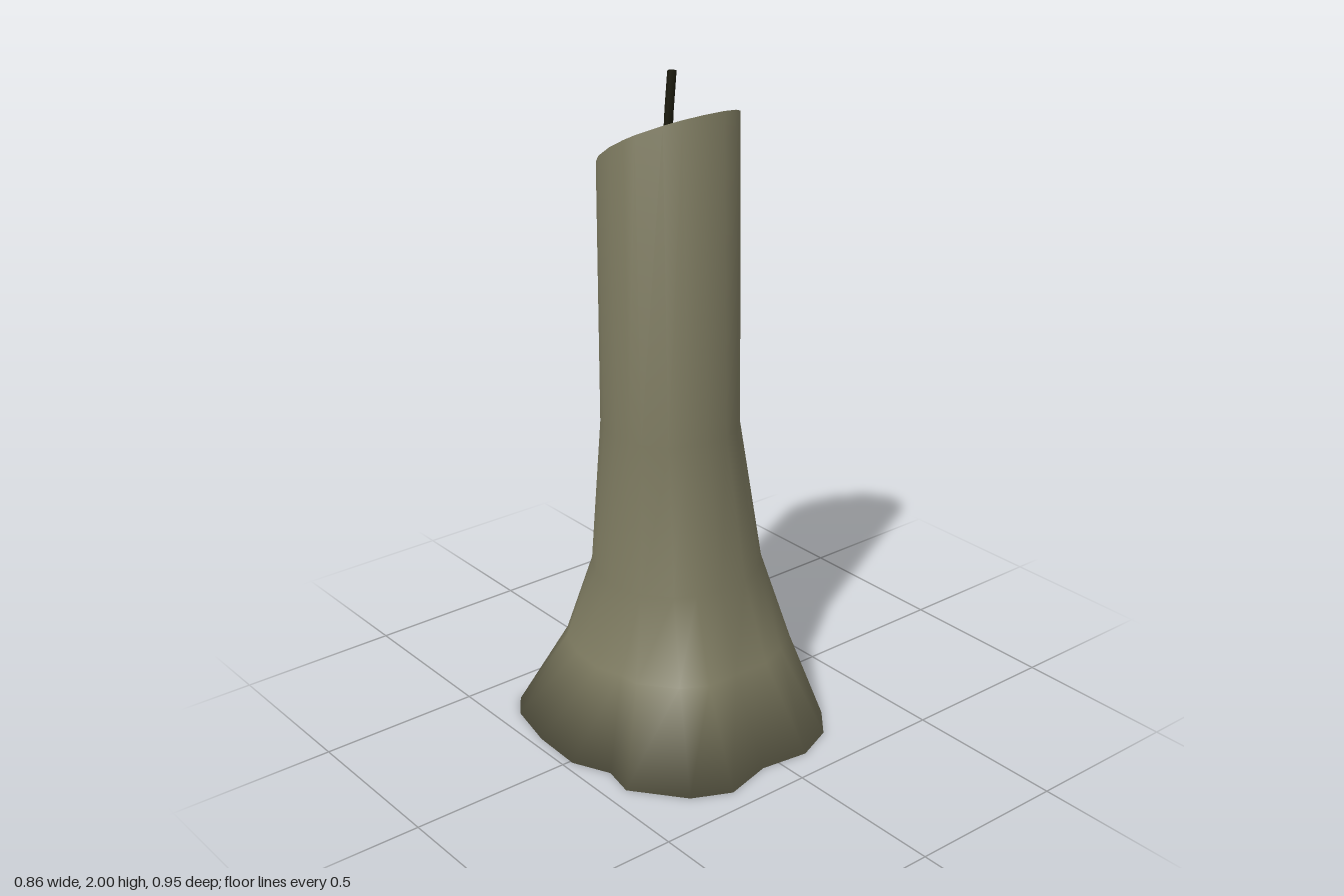
import * as THREE from 'three';

// Closed smooth skin over stacked rings of [x, y, z] points, bottom to top
function loft(rings) {
  const n = rings[0].length;
  const pos = rings.flat(2);
  const idx = [];
  const addCentre = (ring) => {
    for (let k = 0; k < 3; k++) pos.push(ring.reduce((s, p) => s + p[k], 0) / n);
    return pos.length / 3 - 1;
  };
  const last = (rings.length - 1) * n;
  const bottom = addCentre(rings[0]);
  const top = addCentre(rings[rings.length - 1]);
  for (let j = 0; j < n; j++) {
    const k = (j + 1) % n;
    for (let i = 0; i < last; i += n) {
      idx.push(i + j, i + n + j, i + k, i + k, i + n + j, i + n + k);
    }
    idx.push(bottom, j, k, top, last + k, last + j);
  }
  const g = new THREE.BufferGeometry();
  g.setAttribute('position', new THREE.Float32BufferAttribute(pos, 3));
  g.setIndex(idx);
  g.computeVertexNormals();
  return g;
}

// Outline of the melted foot on the ground: x, z
const FOOT = [
  [-0.115, -0.475], [0.01, -0.43], [0.145, -0.315], [0.27, -0.29], [0.36, -0.215],
  [0.41, -0.095], [0.39, 0.055], [0.43, 0.205], [0.375, 0.32], [0.225, 0.437],
  [0.125, 0.418], [0.01, 0.472], [-0.155, 0.467], [-0.315, 0.433], [-0.39, 0.38],
  [-0.413, 0.2], [-0.413, 0.05], [-0.432, -0.13], [-0.407, -0.27], [-0.375, -0.345],
  [-0.315, -0.387], [-0.2, -0.427],
];

export function createModel() {
  const waxMat = new THREE.MeshStandardMaterial({ color: 0x7d7a60 });
  waxMat.name = 'olive wax';
  const wickMat = new THREE.MeshStandardMaterial({ color: 0x1c1b0e });
  wickMat.name = 'charred wick';

  const group = new THREE.Group();
  group.name = 'candle';

  // Oval ring with one point above each foot point
  const oval = (cx, cz, rx, rz, height) => FOOT.map(([x, z]) => {
    const a = Math.atan2(z, x);
    const px = cx + rx * Math.cos(a);
    return [px, height(px), cz + rz * Math.sin(a)];
  });
  const slant = (x) => {
    const t = x + 0.255;
    return 1.69 + 0.72 * t - 0.35 * t * t;
  };

  // Wax body: spreading foot, narrowing stem, slanted top
  const foot = FOOT.map(([x, z]) => [x, 0, z]);
  const neck = oval(-0.052, 0.022, 0.253, 0.258, () => 0.51);
  const stem = oval(-0.05, 0.047, 0.205, 0.203, () => 0.97);
  const top = oval(-0.065, 0.037, 0.19, 0.207, slant);
  const skirt = neck.map(([x, , z], j) => {
    const w = FOOT[j][1] < -0.25 ? 0.46 : 0.35;
    return [x + (FOOT[j][0] - x) * w, 0.26, z + (FOOT[j][1] - z) * w];
  });
  const wax = new THREE.Mesh(loft([foot, skirt, neck, stem, top]), waxMat);
  wax.name = 'waxBody';
  group.add(wax);

  // Thin leaning wick
  const wickRings = [[-0.062, 1.78], [-0.053, 1.89], [-0.04, 2]].map(([cx, y]) =>
    Array.from({ length: 6 }, (_, j) => {
      const a = (j / 6) * Math.PI * 2;
      return [cx + 0.013 * Math.cos(a), y, 0.043 + 0.013 * Math.sin(a)];
    }));
  const wick = new THREE.Mesh(loft(wickRings), wickMat);
  wick.name = 'wick';
  group.add(wick);

  return group;
}
